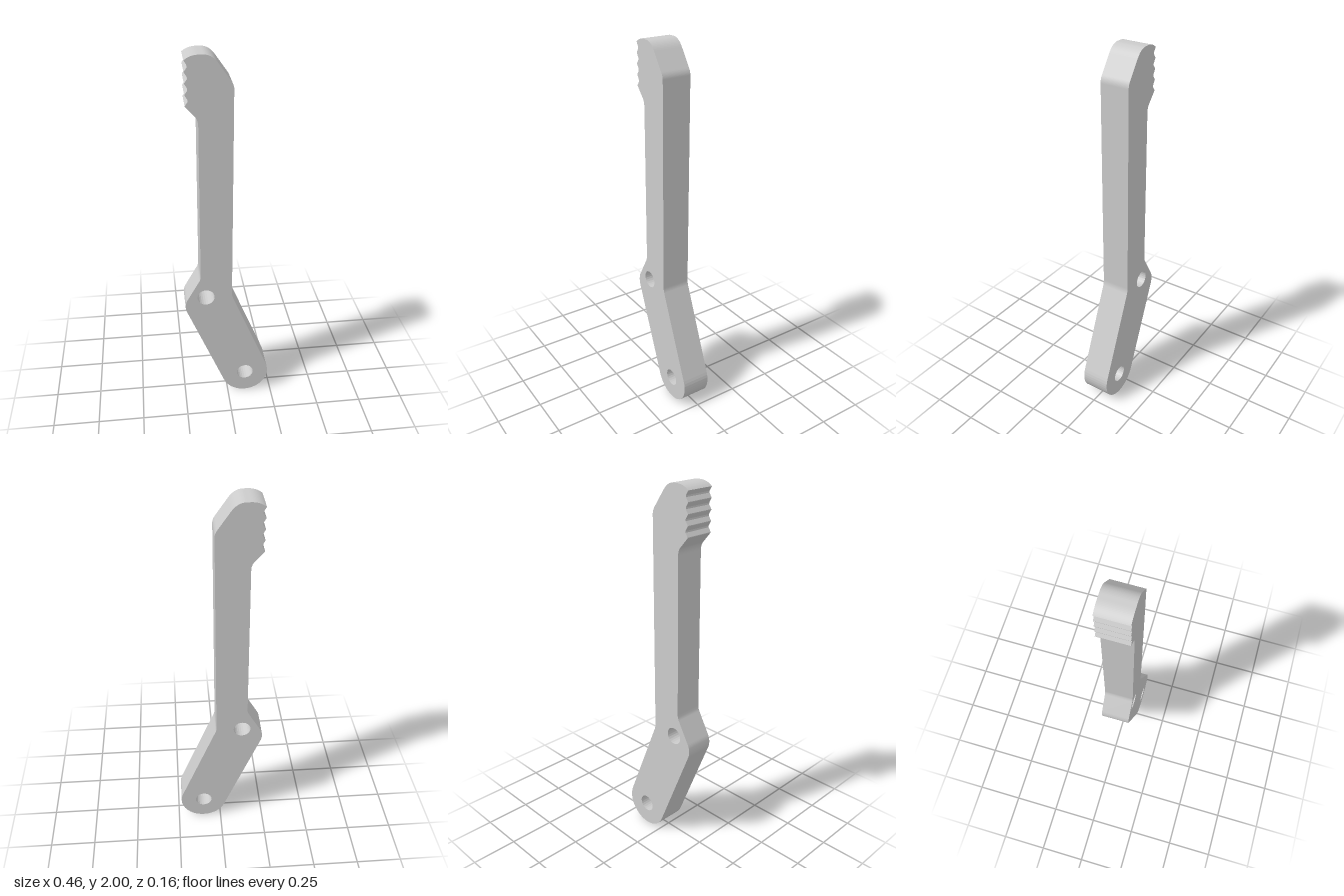
import * as THREE from 'three';

const DEPTH = 0.158;

// Lever outline, counter-clockwise from the right of the rounded foot
function leverShape() {
  const s = new THREE.Shape();
  const foot = { x: 0.1, y: 0.132, r: 0.132 };
  const tilt = 0.39; // lean of the lower leg

  // right edge, bent at the elbow
  s.moveTo(foot.x + foot.r * Math.cos(tilt), foot.y + foot.r * Math.sin(tilt));
  s.lineTo(0.028, 0.662);
  s.quadraticCurveTo(0.022, 0.677, 0.022, 0.695);
  s.lineTo(0.028, 1.835);

  // sloped and rounded head
  s.quadraticCurveTo(0.028, 1.855, 0.015, 1.873);
  s.lineTo(-0.046, 1.96);
  s.quadraticCurveTo(-0.075, 2.0, -0.115, 2.0);
  s.lineTo(-0.135, 2.0);
  s.quadraticCurveTo(-0.175, 2.0, -0.204, 1.976);

  // gripping teeth
  const teeth = 4, top = 1.976, pitch = 0.054;
  for (let i = 0; i < teeth; i++) {
    const y = top - i * pitch;
    s.lineTo(-0.190, y - pitch * 0.42);
    s.lineTo(-0.190, y - pitch * 0.58);
    s.lineTo(-0.204, y - pitch * 0.95);
    s.lineTo(-0.204, y - pitch);
  }

  // left edge with the shoulder around the pivot
  s.lineTo(-0.158, 1.708);
  s.quadraticCurveTo(-0.143, 1.69, -0.143, 1.665);
  s.lineTo(-0.147, 0.815);
  s.quadraticCurveTo(-0.147, 0.798, -0.155, 0.783);
  s.lineTo(-0.222, 0.665);
  s.quadraticCurveTo(-0.241, 0.63, -0.227, 0.59);
  s.lineTo(foot.x - foot.r * Math.cos(tilt), foot.y - foot.r * Math.sin(tilt));

  // rounded foot
  s.absarc(foot.x, foot.y, foot.r, Math.PI + tilt, 2 * Math.PI + tilt, false);

  // pivot holes
  for (const [x, y] of [[-0.12, 0.677], [foot.x, foot.y]]) {
    const hole = new THREE.Path();
    hole.absarc(x, y, 0.047, 0, Math.PI * 2, true);
    s.holes.push(hole);
  }
  return s;
}

export function createModel() {
  const group = new THREE.Group();
  const geometry = new THREE.ExtrudeGeometry(leverShape(), {
    depth: DEPTH, bevelEnabled: false, curveSegments: 12,
  });
  geometry.translate(0, 0, -DEPTH / 2);
  const lever = new THREE.Mesh(geometry, new THREE.MeshStandardMaterial({ color: 0xcccccc }));
  lever.name = 'toothedLever';
  group.add(lever);
  return group;
}
